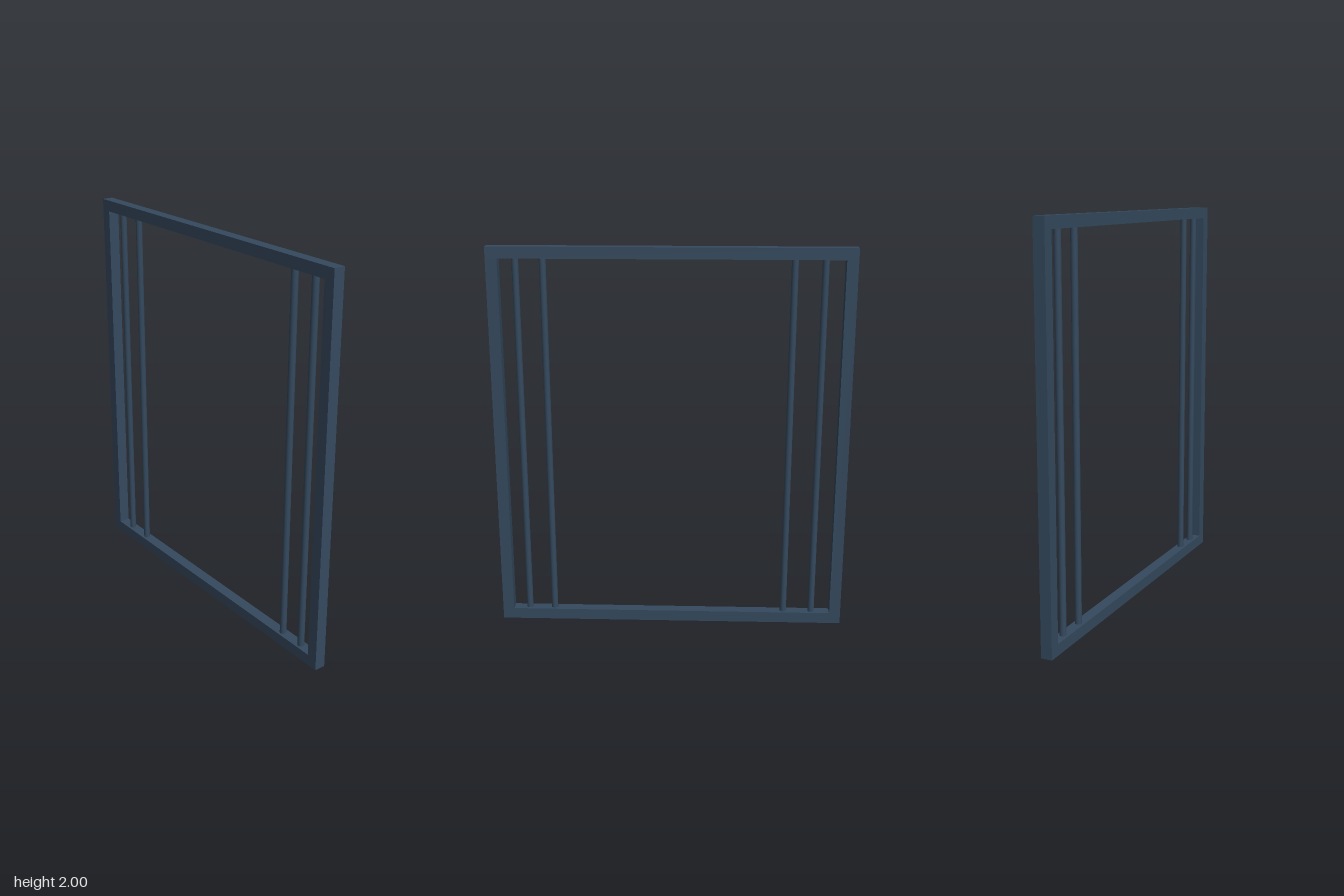
import * as THREE from 'three';

export function createModel() {
  const group = new THREE.Group();
  group.name = 'barredFrame';
  const slate = new THREE.MeshStandardMaterial({ color: 0x34495e });
  slate.name = 'slateBlue';

  const halfW = 0.907, height = 2, t = 0.058;
  const add = (name, geometry, x, y) => {
    const mesh = new THREE.Mesh(geometry, slate);
    mesh.name = name;
    mesh.position.set(x, y, 0);
    group.add(mesh);
  };

  // Horizontal rails run the full width
  const rail = new THREE.BoxGeometry(halfW * 2, t, t);
  add('bottomRail', rail, 0, t / 2);
  add('topRail', rail, 0, height - t / 2);

  // Side posts fit between the rails
  const innerH = height - 2 * t;
  const post = new THREE.BoxGeometry(t, innerH, t);
  add('rightPost', post, -halfW + t / 2, height / 2);
  add('leftPost', post, halfW - t / 2, height / 2);

  // Slim round bars, unevenly spaced near each side
  const bar = new THREE.CylinderGeometry(0.017, 0.017, innerH, 16, 1, true);
  [-0.752, -0.603, 0.63, 0.765].forEach((x, i) => add(`verticalBar${i + 1}`, bar, x, height / 2));

  return group;
}
